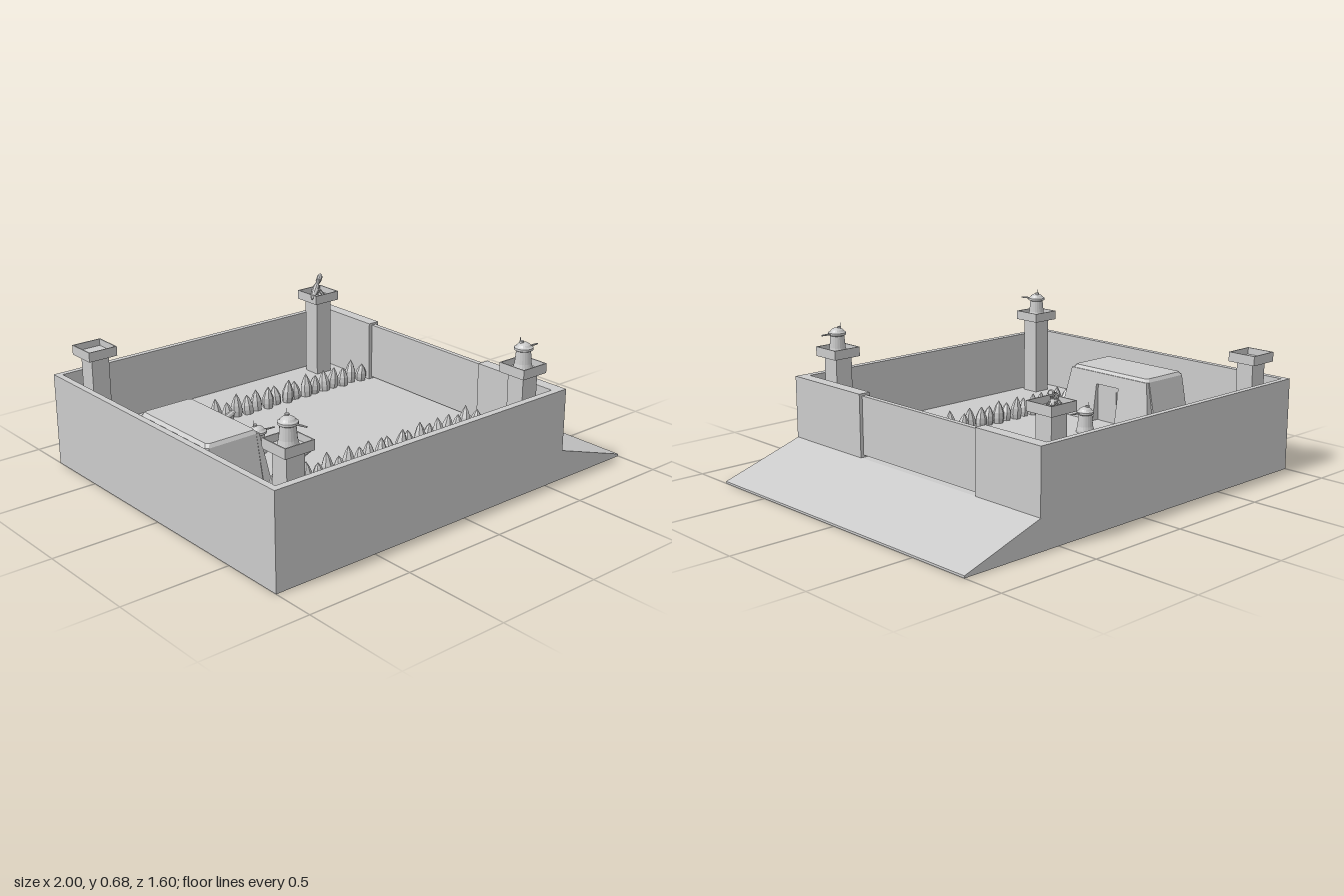
import * as THREE from 'three';
import { ConvexGeometry } from 'three/addons/geometries/ConvexGeometry.js';

const FLOOR = 0.14;
const smooth = new THREE.MeshStandardMaterial({ color: 0xcccccc, side: THREE.DoubleSide });
const flat = new THREE.MeshStandardMaterial({ color: 0xcccccc, flatShading: true, side: THREE.DoubleSide });

function add(parent, name, geometry, x = 0, y = 0, z = 0, material = flat) {
  const mesh = new THREE.Mesh(geometry, material);
  mesh.name = name;
  mesh.position.set(x, y, z);
  parent.add(mesh);
  return mesh;
}

// box given by its min and max on each axis
function block(parent, name, x0, x1, y0, y1, z0, z1) {
  const geometry = new THREE.BoxGeometry(x1 - x0, y1 - y0, z1 - z0);
  return add(parent, name, geometry, (x0 + x1) / 2, (y0 + y1) / 2, (z0 + z1) / 2);
}

// convex solid through horizontal rectangles [y, x0, x1, z0, z1], corners cut by c
function stack(parent, name, rects, c = 0) {
  const points = [];
  for (const [y, x0, x1, z0, z1] of rects) {
    for (const [x, sx] of [[x0, 1], [x1, -1]]) {
      for (const [z, sz] of [[z0, 1], [z1, -1]]) {
        points.push(new THREE.Vector3(x + sx * c, y, z));
        if (c) points.push(new THREE.Vector3(x, y, z + sz * c));
      }
    }
  }
  return add(parent, name, new ConvexGeometry(points));
}

function group(parent, name, x, y, z) {
  const g = new THREE.Group();
  g.name = name;
  g.position.set(x, y, z);
  parent.add(g);
  return g;
}

// round gun turret with flared base, cap, dome, aerial and barrel along +x
function turret(parent, x, y, z, turn) {
  const g = group(parent, 'turret', x, y, z);
  const profile = [[0, 0], [0.042, 0], [0.042, 0.01], [0.037, 0.03], [0.032, 0.085], [0.041, 0.09],
    [0.041, 0.1], [0.033, 0.105], [0.027, 0.113], [0.015, 0.12], [0, 0.122]];
  add(g, 'turretBody', new THREE.LatheGeometry(profile.map(p => new THREE.Vector2(...p)), 20));
  const barrel = add(g, 'turretBarrel', new THREE.CylinderGeometry(0.0035, 0.005, 0.065, 8), 0.055, 0.096, 0);
  barrel.rotation.z = -Math.PI / 2;
  add(g, 'hatch', new THREE.CylinderGeometry(0.009, 0.009, 0.012, 10), -0.008, 0.122, -0.006);
  add(g, 'aerial', new THREE.CylinderGeometry(0.0015, 0.0015, 0.03, 5), -0.012, 0.13, -0.01);
  g.rotation.y = turn;
}

// field gun: low carriage, raised barrel along +x, small splayed legs
function fieldGun(parent, x, y, z, turn) {
  const g = group(parent, 'fieldGun', x, y, z);
  const carriage = add(g, 'carriage', new THREE.SphereGeometry(1, 10, 6), -0.005, 0.025, 0);
  carriage.scale.set(0.07, 0.012, 0.016);
  const gun = group(g, 'barrelAssembly', -0.035, 0.037, 0);
  gun.rotation.z = 0.36;
  const profile = [[0, -0.065], [0.006, -0.06], [0.014, -0.025], [0.018, 0.01], [0.015, 0.045],
    [0.01, 0.055], [0.01, 0.085], [0.014, 0.087], [0.014, 0.122], [0.008, 0.137], [0, 0.137]];
  const barrel = add(gun, 'barrel', new THREE.LatheGeometry(profile.map(p => new THREE.Vector2(...p)), 10));
  barrel.rotation.z = -Math.PI / 2;
  for (const side of [-1, 1]) {
    for (const px of [-0.035, 0.005, 0.035]) {
      const leg = add(g, 'leg', new THREE.CylinderGeometry(0.004, 0.003, 0.04, 6), px, 0.018, side * 0.02);
      leg.rotation.x = -side * 0.7;
    }
  }
  g.rotation.y = turn;
}

// corner watchtower: square post carrying an open tray
function tower(parent, x, z) {
  const g = group(parent, 'watchtower', x, 0, z);
  block(g, 'post', -0.044, 0.044, FLOOR, 0.53, -0.044, 0.044);
  block(g, 'trayFloor', -0.071, 0.071, 0.517, 0.53, -0.071, 0.071);
  for (const s of [-1, 1]) {
    add(g, 'trayRim', new THREE.BoxGeometry(0.005, 0.044, 0.142), s * 0.0685, 0.539, 0);
    add(g, 'trayRim', new THREE.BoxGeometry(0.132, 0.044, 0.005), 0, 0.539, s * 0.0685);
  }
}

export function createModel() {
  const model = new THREE.Group();
  model.name = 'fort';

  // ground slab with ramp
  const side = new THREE.Shape([[-1, 0], [1, 0], [1, 0.01], [0.6, FLOOR], [-1, FLOOR]]
    .map(p => new THREE.Vector2(...p)));
  add(model, 'baseAndRamp', new THREE.ExtrudeGeometry(side, { depth: 1.6, bevelEnabled: false }), 0, 0, -0.8);

  // walls and gate
  block(model, 'backWall', -1, -0.97, FLOOR, 0.43, -0.8, 0.8);
  block(model, 'sideWall', -0.97, 0.545, FLOOR, 0.43, 0.767, 0.8);
  block(model, 'sideWall', -0.97, 0.545, FLOOR, 0.43, -0.8, -0.773);
  block(model, 'gateWall', 0.545, 0.603, FLOOR, 0.43, 0.325, 0.8);
  block(model, 'gateWall', 0.545, 0.603, FLOOR, 0.43, -0.8, -0.425);
  block(model, 'gate', 0.563, 0.587, 0.15, 0.42, -0.425, 0.325);

  // bunker with sloping sides and a recessed doorway
  const bunker = group(model, 'bunker', 0, 0, 0);
  stack(bunker, 'bunkerCore', [[FLOOR, -0.897, -0.635, -0.31, 0.272], [0.375, -0.897, -0.635, -0.262, 0.224],
    [0.39, -0.885, -0.645, -0.25, 0.212]], 0.012);
  const slope = y => -0.597 - 0.033 * (y - FLOOR) / 0.235;
  stack(bunker, 'bunkerFront', [[FLOOR, -0.66, slope(FLOOR), 0.05, 0.265], [0.375, -0.66, -0.63, 0.05, 0.222]]);
  stack(bunker, 'bunkerFront', [[FLOOR, -0.66, slope(FLOOR), -0.303, -0.09], [0.375, -0.66, -0.63, -0.26, -0.09]]);
  stack(bunker, 'doorLintel', [[0.32, -0.66, slope(0.32), -0.09, 0.05], [0.375, -0.66, -0.63, -0.09, 0.05]]);
  block(bunker, 'door', -0.64, -0.632, FLOOR, 0.32, -0.07, 0.03);

  // two rows of pointed stakes
  const stake = new THREE.LatheGeometry([[0.024, 0], [0.028, 0.025], [0.026, 0.05], [0.015, 0.08], [0, 0.105]]
    .map(p => new THREE.Vector2(...p)), 7);
  for (const rowZ of [-0.455, 0.348]) {
    const row = group(model, 'stakeRow', 0, FLOOR, rowZ);
    for (let i = 0; i < 26; i++) {
      const s = add(row, 'stake', stake, -0.945 + i * 0.0582, 0, i % 2 ? 0.006 : -0.006);
      s.rotation.set(0.08 * Math.sin(i * 2.3), i * 1.7, 0.1 * Math.sin(i * 1.9));
      s.scale.y = 0.95 + 0.12 * Math.sin(i * 2.7);
    }
  }

  // watchtowers
  for (const x of [-0.848, 0.437]) {
    for (const z of [-0.69, 0.693]) tower(model, x, z);
  }

  // guns on the towers and in the yard
  turret(model, -0.846, 0.53, 0.69, -1.3);
  turret(model, 0.442, 0.53, 0.688, 0);
  turret(model, -0.427, FLOOR, -0.062, -0.12);
  fieldGun(model, 0.43, 0.53, -0.695, 0.65);
  fieldGun(model, -0.442, FLOOR, -0.338, 0);
  fieldGun(model, -0.442, FLOOR, 0.213, 0);
  return model;
}
